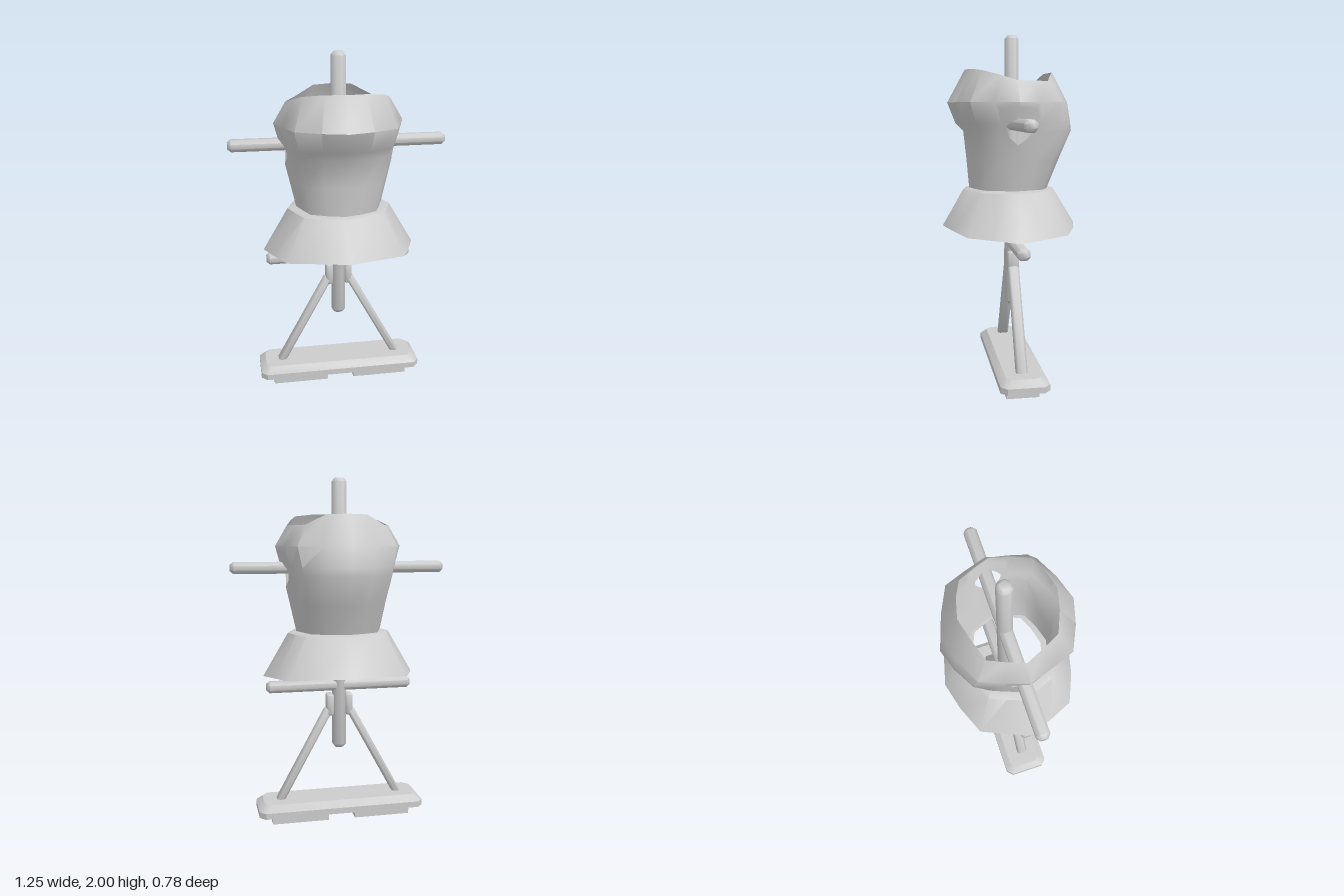
import * as THREE from 'three';
import { toCreasedNormals } from 'three/addons/utils/BufferGeometryUtils.js';
import { ConvexGeometry } from 'three/addons/geometries/ConvexGeometry.js';

const grey = new THREE.MeshStandardMaterial({ color: 0xcccccc });
const shell = new THREE.MeshStandardMaterial({ color: 0xcccccc, side: THREE.DoubleSide });
const COLS = 16, MID_Z = -0.015;

function addMesh(parent, name, geometry, material = grey) {
  const mesh = new THREE.Mesh(geometry, material);
  mesh.name = name;
  parent.add(mesh);
  return mesh;
}

function octagon(w, d, c) {
  const x = w / 2, y = d / 2;
  return [[x, c - y], [x, y - c], [x - c, y], [c - x, y], [-x, y - c], [-x, c - y], [c - x, -y], [x - c, -y]]
    .map(([a, b]) => new THREE.Vector2(a, b));
}

// Chamfered timber running between two points
function addBar(parent, name, from, to, w, d, c) {
  const a = new THREE.Vector3(...from), b = new THREE.Vector3(...to);
  const length = a.distanceTo(b);
  const geometry = new THREE.ExtrudeGeometry(new THREE.Shape(octagon(w, d, c)), {
    depth: length - 2 * c, bevelThickness: c, bevelSize: c * 0.8, bevelOffset: -c * 0.8, bevelSegments: 1,
  });
  geometry.translate(0, 0, c - length / 2);
  geometry.rotateX(-Math.PI / 2);
  const bar = addMesh(parent, name, toCreasedNormals(geometry, 0.9));
  bar.position.copy(a).add(b).multiplyScalar(0.5);
  bar.quaternion.setFromUnitVectors(new THREE.Vector3(0, 1, 0), b.sub(a).normalize());
}

// Plan of one quarter of the armour, from the middle (0) to the side (4)
const PLAN = [[0, 1], [0.38, 0.89], [0.75, 0.71], [0.885, 0.355], [1, 0]];

// A ring has y (number, or quarter lists for front and back), side, front and back radii
function ringPoint(ring, column) {
  const k = ((column % COLS) + COLS) % COLS;
  const front = k <= 4 || k >= 12;
  const q = k <= 4 ? k : k <= 8 ? 8 - k : k <= 12 ? k - 8 : 16 - k;
  const y = typeof ring.y === 'number' ? ring.y : (front ? ring.y[0] : ring.y[1])[q];
  return new THREE.Vector3(PLAN[q][0] * ring.x * (k < 8 ? 1 : -1), y,
    PLAN[q][1] * (front ? ring.front : -ring.back));
}

// Point on the shell at fractional column u and ring v
function surface(rings, u, v) {
  const i = Math.floor(u), j = Math.min(Math.floor(v), rings.length - 2);
  const row = (r) => ringPoint(rings[r], i).lerp(ringPoint(rings[r], i + 1), u - i);
  return row(j).lerp(row(j + 1), v - j);
}

function shellGeometry(rings, armholes = false) {
  const out = [];
  const quad = (...corners) => {
    const p = corners.map(([u, v]) => surface(rings, u, v));
    for (const n of [0, 1, 2, 0, 2, 3]) out.push(p[n].x, p[n].y, p[n].z);
  };
  for (let j = 0; j < rings.length - 1; j++) {
    for (let i = 0; i < COLS; i++) {
      const atSide = i === 3 || i === 4 || i === 11 || i === 12;
      if (armholes && atSide && j >= 1 && j < 4) continue;
      quad([i, j], [i + 1, j], [i + 1, j + 1], [i, j + 1]);
    }
  }
  // Panel around each armhole, from its rectangular border in to the round hole
  if (armholes) {
    const border = [[1, -1], [1, -1 / 3], [1, 1 / 3], [1, 1], [0, 1],
      [-1, 1], [-1, 1 / 3], [-1, -1 / 3], [-1, -1], [0, -1]];
    const steps = 3;
    for (const side of [4, 12]) {
      const at = (n, t) => {
        const [a, b] = border[n % border.length], r = Math.hypot(a, b);
        const u = THREE.MathUtils.lerp(a, 0.65 * a / r, t);
        const v = THREE.MathUtils.lerp(2.5 + 1.5 * b, 2.4 + 0.85 * b / r, t);
        return [side + u, v];
      };
      for (let n = 0; n < border.length; n++) {
        for (let s = 0; s < steps; s++) {
          const t0 = s / steps, t1 = (s + 1) / steps;
          quad(at(n, t0), at(n + 1, t0), at(n + 1, t1), at(n, t1));
        }
      }
    }
  }
  const geometry = new THREE.BufferGeometry();
  geometry.setAttribute('position', new THREE.Float32BufferAttribute(out, 3));
  return toCreasedNormals(geometry, THREE.MathUtils.degToRad(47));
}

export function createModel() {
  const model = new THREE.Group();
  model.name = 'armourStand';

  // Base board with a chamfered upper edge, on two feet
  const boardPoints = [[0.055, 0], [0.09, 0], [0.127, 0.035]].flatMap(([y, inset]) =>
    octagon(0.99 - 2 * inset, 0.276 - 2 * inset, 0.035).map((p) => new THREE.Vector3(p.x, y, p.y - 0.018)));
  addMesh(model, 'baseBoard', toCreasedNormals(new ConvexGeometry(boardPoints), 0.6));
  for (const s of [1, -1]) {
    const foot = addMesh(model, s > 0 ? 'leftFoot' : 'rightFoot', new THREE.BoxGeometry(0.335, 0.06, 0.185));
    foot.position.set(s * 0.248, 0.03, -0.013);
  }

  // Post and cross bars
  addBar(model, 'post', [0, 0.427, MID_Z], [0, 2, MID_Z], 0.08, 0.076, 0.02);
  addBar(model, 'armBar', [-0.625, 1.498, MID_Z], [0.625, 1.498, MID_Z], 0.066, 0.074, 0.02);
  addBar(model, 'hipBar', [-0.432, 0.808, MID_Z], [0.432, 0.808, MID_Z], 0.064, 0.074, 0.018);

  // Sloping struts with upright ends against the post
  for (const s of [1, -1]) {
    const side = s > 0 ? 'left' : 'right';
    addBar(model, side + 'Strut', [s * 0.37, 0.1, MID_Z], [s * 0.062, 0.665, MID_Z], 0.044, 0.066, 0.012);
    addBar(model, side + 'StrutEnd', [s * 0.057, 0.625, MID_Z], [s * 0.057, 0.755, MID_Z], 0.042, 0.066, 0.008);
  }

  // Breastplate and backplate with a raised collar and armholes
  addMesh(model, 'cuirass', shellGeometry([
    { y: 1.13, x: 0.25, front: 0.235, back: 0.23 },
    { y: 1.3, x: 0.288, front: 0.25, back: 0.30 },
    { y: 1.46, x: 0.325, front: 0.267, back: 0.37 },
    { y: 1.505, x: 0.336, front: 0.312, back: 0.365 },
    { y: 1.62, x: 0.367, front: 0.357, back: 0.345 },
    { y: [[1.805, 1.803, 1.79, 1.765, 1.735], [1.793, 1.79, 1.735, 1.735, 1.735]], x: 0.298, front: 0.255, back: 0.253 },
  ], true), shell);

  // Flared skirt, closed over at the waist
  const hem = [0.91, 0.908, 0.893, 0.884, 0.873];
  addMesh(model, 'skirt', shellGeometry([
    { y: [hem, hem], x: 0.447, front: 0.392, back: 0.392 },
    { y: 1.122, x: 0.3, front: 0.27, back: 0.262 },
    { y: 1.132, x: 0.25, front: 0.235, back: 0.23 },
    { y: 1.132, x: 0.235, front: 0.2, back: 0.2 },
  ]), shell);

  return model;
}
